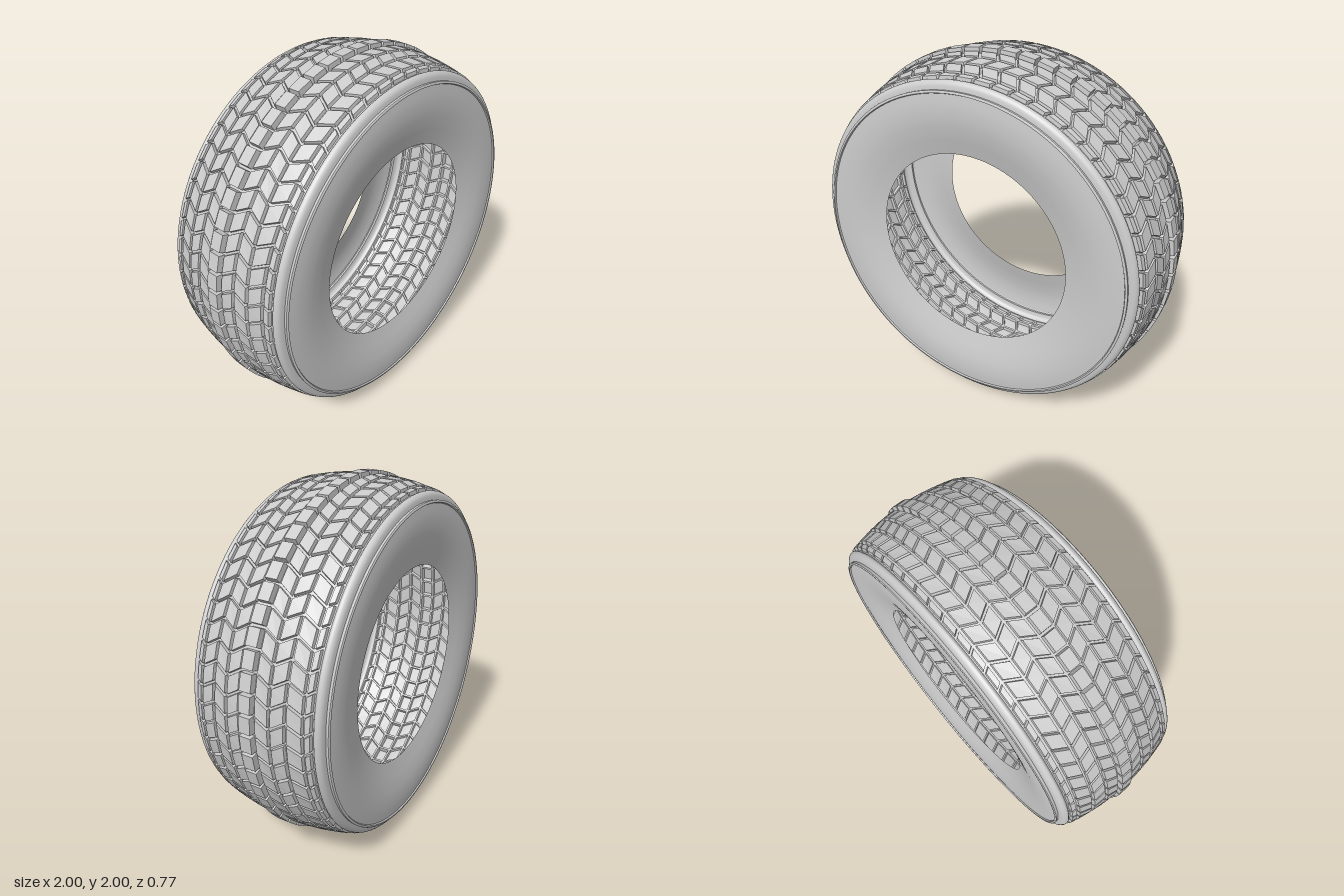
import * as THREE from 'three';

const BLOCKS = 60;
const STEP = (Math.PI * 2) / BLOCKS;
const GROOVE = 0.018;
const material = new THREE.MeshStandardMaterial({ color: 0xcccccc, side: THREE.DoubleSide });

// radius of the rounded crown across the width
const crown = (z) => 0.985 - 0.045 * (z / 0.325) ** 2;
const lerp = THREE.MathUtils.lerp;

// one ring of raised blocks; a and b are the [z, angle shift] of its two edges
function treadRow(name, a, b, extra = 0) {
  const positions = [];
  const gapV = 0.006 / (b[0] - a[0]);
  const quad = (p, q, r, s) => [p, q, r, p, r, s].forEach((v) => positions.push(...v));
  for (let i = 0; i < BLOCKS; i++) {
    const point = (u, v, lift) => {
      const z = lerp(a[0], b[0], v);
      const t = (i + u) * STEP + lerp(a[1], b[1], v);
      const r = crown(z) - GROOVE + lift;
      return [r * Math.cos(t), r * Math.sin(t), z];
    };
    const loop = (gu, gv, lift) => [
      point(gu, gv, lift), point(1 - gu, gv, lift), point(1 - gu, 1 - gv, lift), point(gu, 1 - gv, lift),
    ];
    // groove floor, block walls, block top
    const loops = [loop(0, 0, 0), loop(0.06, gapV, 0), loop(0.085, gapV * 1.4, GROOVE + extra)];
    for (let k = 0; k < 2; k++) {
      for (let c = 0; c < 4; c++) {
        const d = (c + 1) % 4;
        quad(loops[k][c], loops[k][d], loops[k + 1][d], loops[k + 1][c]);
      }
    }
    quad(...loops[2]);
  }
  const geometry = new THREE.BufferGeometry();
  geometry.setAttribute('position', new THREE.Float32BufferAttribute(positions, 3));
  geometry.computeVertexNormals();
  const mesh = new THREE.Mesh(geometry, material);
  mesh.name = name;
  return mesh;
}

// surface of revolution about z from [radius, z] points
function ring(name, points, smooth) {
  let profile = points.map(([r, z]) => new THREE.Vector2(r, z));
  if (smooth) profile = new THREE.SplineCurve(profile).getPoints(smooth);
  const geometry = new THREE.LatheGeometry(profile, 120);
  geometry.rotateX(Math.PI / 2);
  const mesh = new THREE.Mesh(geometry, material);
  mesh.name = name;
  return mesh;
}

function side(name) {
  const group = new THREE.Group();
  group.name = name;
  group.add(
    ring('shoulder', [[0.922, 0.325], [0.931, 0.336], [0.926, 0.351], [0.912, 0.362], [0.888, 0.367]], 12),
    // raised lip around the sidewall
    ring('lipEdge', [[0.888, 0.367], [0.89, 0.381]]),
    ring('lipFace', [[0.89, 0.381], [0.886, 0.385], [0.878, 0.385]]),
    ring('lipStep', [[0.878, 0.385], [0.874, 0.377]]),
    ring('sidewall', [[0.874, 0.377], [0.81, 0.382], [0.74, 0.379], [0.67, 0.367], [0.61, 0.352], [0.55, 0.336]], 24),
  );
  return group;
}

export function createModel() {
  const model = new THREE.Group();
  model.name = 'tyre';
  const wheel = new THREE.Group();
  wheel.name = 'tyreBody';
  wheel.position.y = 1;
  model.add(wheel);

  // tread: straight centre rib with zigzag rows mirrored on both sides
  wheel.add(treadRow('centreRib', [-0.04, 0], [0.04, 0], 0.015));
  const edges = [[0.04, 0], [0.12, -0.05], [0.2, 0], [0.285, -0.05], [0.325, -0.02]];
  for (let i = 0; i < edges.length - 1; i++) {
    const [a, b] = [edges[i], edges[i + 1]];
    wheel.add(treadRow('frontTreadRow' + (i + 1), a, b));
    wheel.add(treadRow('backTreadRow' + (i + 1), [-b[0], b[1]], [-a[0], a[1]]));
  }

  const front = side('frontSide');
  const back = side('backSide');
  back.rotation.y = Math.PI;
  wheel.add(front, back);
  return model;
}
